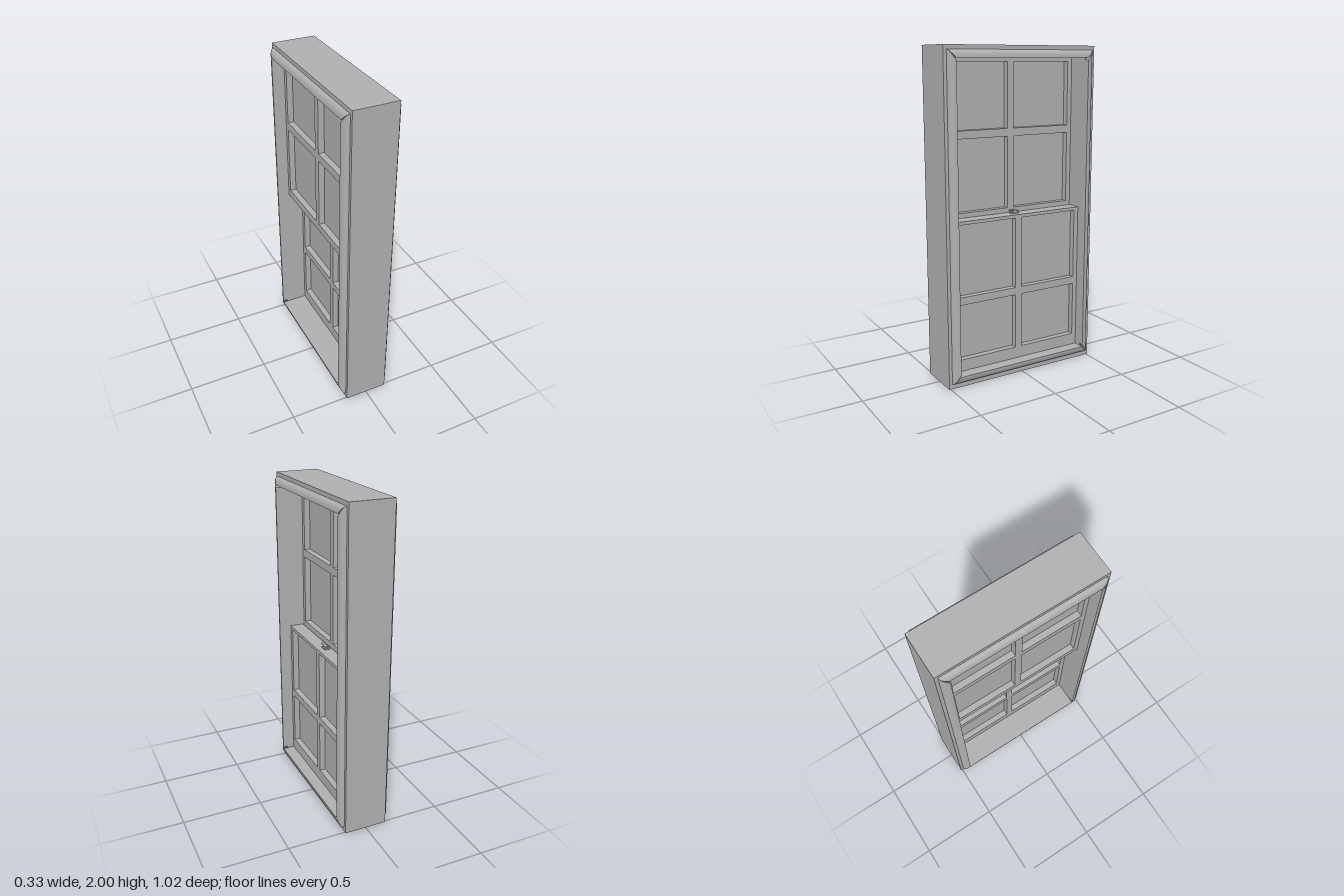
import * as THREE from 'three';
import { toCreasedNormals } from 'three/addons/utils/BufferGeometryUtils.js';

const paint = new THREE.MeshStandardMaterial({ color: 0xb0b0b0 });
paint.name = 'grey paint';

function add(parent, name, geometry) {
  const mesh = new THREE.Mesh(geometry, paint);
  mesh.name = name;
  parent.add(mesh);
  return mesh;
}

// Rectangle outline in the z/y plane
function rect(Type, z0, z1, y0, y1) {
  return new Type([[z0, y0], [z1, y0], [z1, y1], [z0, y1]].map(p => new THREE.Vector2(...p)));
}

// Flat board with rectangular openings, thickness along x and centred on x
function board(outer, holes, depth, x) {
  const shape = rect(THREE.Shape, ...outer);
  holes.forEach(h => shape.holes.push(rect(THREE.Path, ...h)));
  const g = new THREE.ExtrudeGeometry(shape, { depth, bevelEnabled: false });
  return g.translate(0, 0, -depth / 2).rotateY(Math.PI / 2).translate(x, 0, 0);
}

// Quarter-round moulding with mitred ends: x inward, y outward, z along its length
function moulding(length, width, height, mitre) {
  const shape = new THREE.Shape();
  shape.moveTo(0, 0);
  for (let i = 1; i <= 12; i++) {
    const a = (i / 12) * Math.PI / 2;
    shape.lineTo(width * (1 - Math.cos(a)), height * Math.sin(a));
  }
  shape.lineTo(width, 0);
  const g = new THREE.ExtrudeGeometry(shape, { depth: length, bevelEnabled: false });
  g.translate(0, 0, -length / 2);
  const p = g.attributes.position;
  for (let i = 0; i < p.count; i++) {
    const z = p.getZ(i);
    p.setZ(i, z - Math.sign(z) * mitre * p.getX(i) / width);
  }
  return toCreasedNormals(g, 0.5);
}

// Sash with four lights: flush rails, stiles and glazing bars around a pane
function sash(name, x, y0, y1, glass0, glass1, bar0, bar1) {
  const group = new THREE.Group();
  group.name = name;
  const holes = [];
  for (const [z0, z1] of [[-0.415, -0.022], [0.022, 0.415]])
    for (const [a, b] of [[glass0, bar0], [bar1, glass1]]) holes.push([z0, z1, a, b]);
  add(group, 'sashFrame', board([-0.445, 0.445, y0, y1], holes, 0.086, x));
  holes.forEach(h => add(group, 'pane', board(h, [], 0.01, x)));
  return group;
}

export function createModel() {
  const model = new THREE.Group();
  model.name = 'sashWindow';

  // Outer box frame
  add(model, 'outerFrame', board([-0.51, 0.51, 0, 2], [[-0.445, 0.445, 0.075, 1.93]], 0.27, 0));

  // Moulded trim on both faces
  const w = 0.045, low = 0.03, high = 1.975, mid = (low + high) / 2;
  for (const face of [1, -1]) {
    const trim = new THREE.Group();
    trim.name = face > 0 ? 'innerTrim' : 'outerTrim';
    const out = new THREE.Vector3(face, 0, 0);
    const place = (name, geometry, inward, position) => {
      const m = new THREE.Matrix4().makeBasis(inward, out, inward.clone().cross(out));
      add(trim, name, geometry.applyMatrix4(m.setPosition(position)));
    };
    for (const s of [1, -1]) {
      place('sideMoulding', moulding(high - low, w, 0.032, 0.06),
        new THREE.Vector3(0, 0, -s), new THREE.Vector3(face * 0.135, mid, s * 0.49));
      place('crossMoulding', moulding(0.98, w, 0.029, w),
        new THREE.Vector3(0, -s, 0), new THREE.Vector3(face * 0.135, s > 0 ? high : low, 0));
    }
    model.add(trim);
  }

  // Sliding sashes, the lower one towards +x
  model.add(sash('upperSash', -0.048, 0.98, 1.93, 1.028, 1.907, 1.467, 1.515));
  model.add(sash('lowerSash', 0.046, 0.075, 1.0, 0.148, 0.98, 0.493, 0.54));

  // Latch on the meeting rail
  const latch = new THREE.Group();
  latch.name = 'latch';
  latch.position.set(0.035, 1.0, 0);
  add(latch, 'latchBase', new THREE.BoxGeometry(0.035, 0.008, 0.05)).position.y = 0.004;
  add(latch, 'latchPivot', new THREE.CylinderGeometry(0.014, 0.016, 0.014, 20)).position.y = 0.014;
  const lever = add(latch, 'latchLever', new THREE.BoxGeometry(0.014, 0.007, 0.06));
  lever.position.set(0.006, 0.019, 0.008);
  lever.rotation.x = -0.1;
  model.add(latch);

  return model;
}
